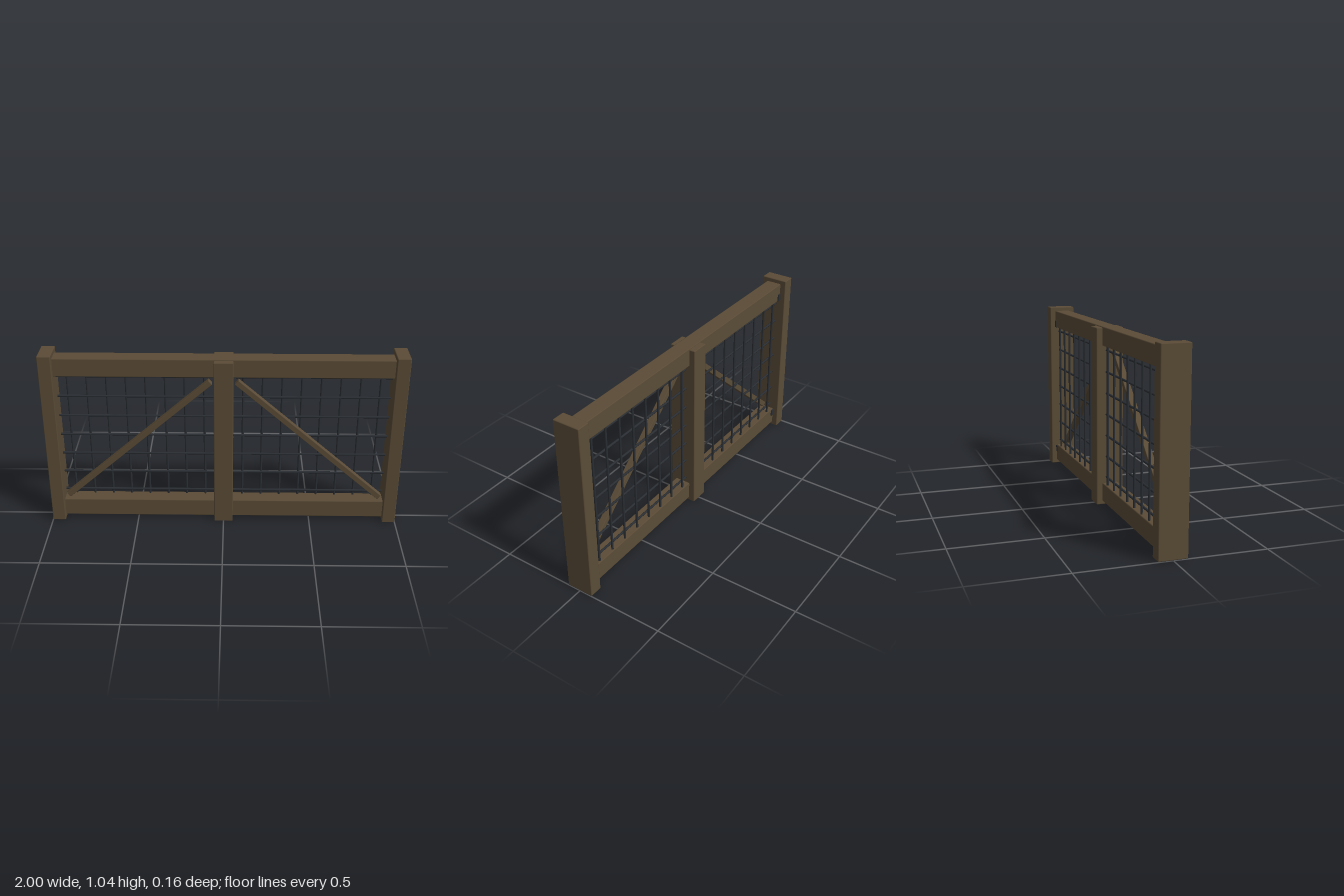
import * as THREE from 'three';
import { RoundedBoxGeometry } from 'three/addons/geometries/RoundedBoxGeometry.js';

const wood = new THREE.MeshStandardMaterial({ color: 0x5a4b36 });
const iron = new THREE.MeshStandardMaterial({ color: 0x2a2e33 });

// Beam with softened edges, given by its extents on each axis
function beam(name, [x0, x1], [y0, y1], [z0, z1], material = wood, bevel = 0.005) {
  const geometry = new RoundedBoxGeometry(x1 - x0, y1 - y0, z1 - z0, 1, bevel);
  const mesh = new THREE.Mesh(geometry, material);
  mesh.position.set((x0 + x1) / 2, (y0 + y1) / 2, (z0 + z1) / 2);
  mesh.name = name;
  return mesh;
}

// Round bar of the wire grid
function bar(name, length, x, y, z, horizontal) {
  const mesh = new THREE.Mesh(new THREE.CylinderGeometry(0.0065, 0.0065, length, 8), iron);
  if (horizontal) mesh.rotation.z = Math.PI / 2;
  mesh.position.set(x, y, z);
  mesh.name = name;
  return mesh;
}

// Diagonal brace running from the outer bottom to the inner top corner
function brace(side) {
  const a = new THREE.Vector2(side * 0.902, 0.15);
  const b = new THREE.Vector2(side * 0.072, 0.878);
  const d = b.clone().sub(a);
  const mesh = new THREE.Mesh(new RoundedBoxGeometry(d.length(), 0.032, 0.036, 1, 0.003), wood);
  mesh.position.set((a.x + b.x) / 2, (a.y + b.y) / 2, 0.025);
  mesh.rotation.z = Math.atan2(d.y, d.x);
  mesh.name = 'diagonalBrace';
  return mesh;
}

function panel(side) {
  const group = new THREE.Group();
  group.name = side > 0 ? 'leftPanel' : 'rightPanel';

  // Wire grid
  for (let i = 0; i < 8; i++) {
    group.add(bar('verticalBar', 0.81, side * (0.108 + i * 0.1083), 0.518, -0.031, false));
  }
  for (let i = 0; i < 7; i++) {
    group.add(bar('horizontalBar', 0.885, side * 0.488, 0.16 + i * 0.1207, -0.019, true));
  }

  group.add(brace(side));

  // Small iron brackets fixing the rails to the end post
  const x = side > 0 ? [0.9, 0.926] : [-0.926, -0.9];
  group.add(beam('upperBracket', x, [0.912, 0.955], [-0.05, -0.01], iron, 0.002));
  group.add(beam('lowerBracket', x, [0.08, 0.122], [-0.05, -0.01], iron, 0.002));
  return group;
}

export function createModel() {
  const model = new THREE.Group();
  model.name = 'fenceSection';
  const postDepth = [-0.078, 0.078];
  const railDepth = [-0.044, 0.048];

  // Posts
  model.add(beam('rightPost', [-1, -0.925], [0, 1.04], postDepth));
  model.add(beam('leftPost', [0.925, 1], [0, 1.04], postDepth));
  model.add(beam('centrePost', [-0.054, 0.054], [0, 1.01], postDepth));

  // Rails
  model.add(beam('topRail', [-0.93, 0.93], [0.91, 1.016], railDepth));
  model.add(beam('bottomRail', [-0.93, 0.93], [0.02, 0.126], railDepth));

  for (const side of [-1, 1]) model.add(panel(side));
  return model;
}
